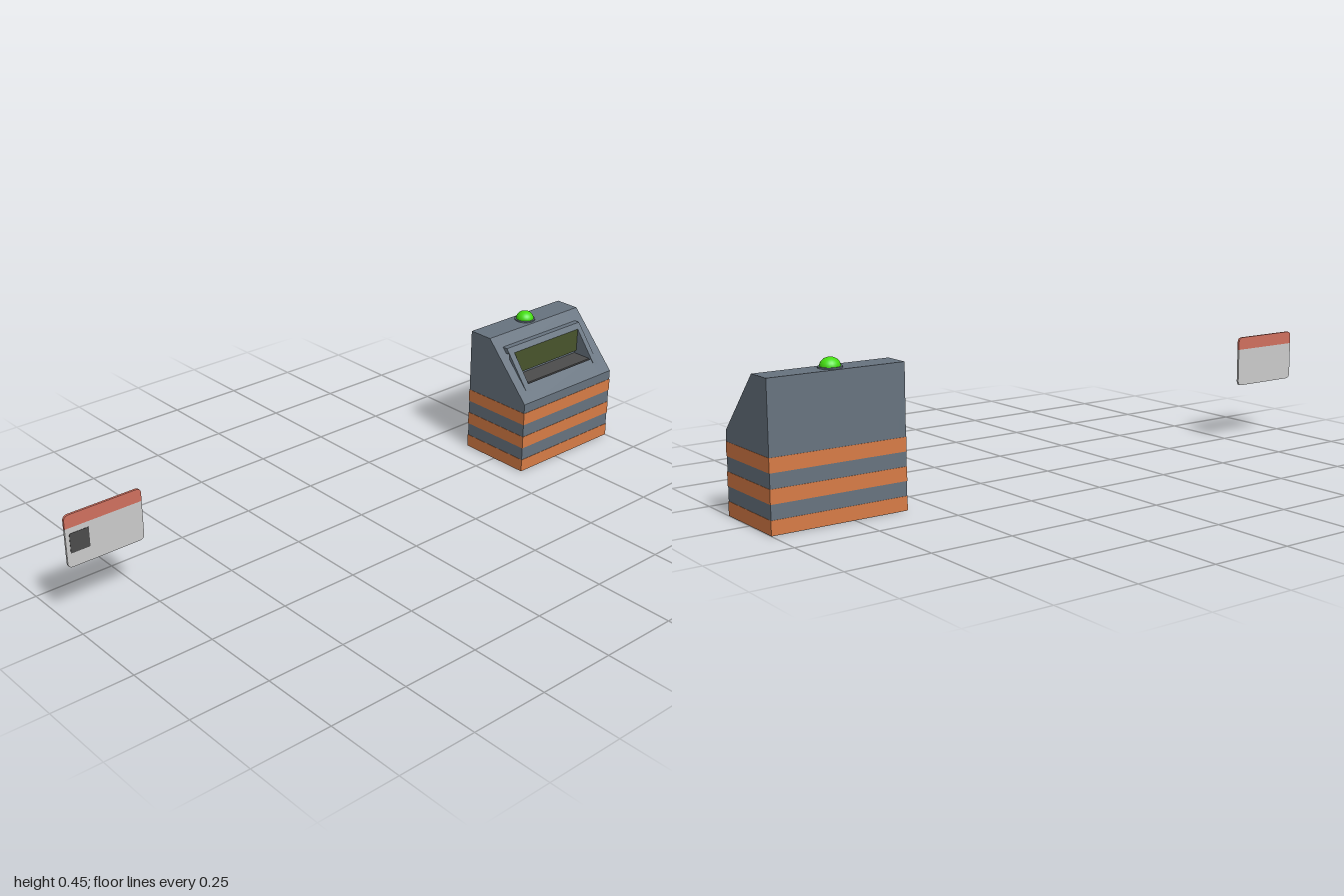
import * as THREE from 'three';

const mat = (color) => new THREE.MeshStandardMaterial({ color });
const slate = mat(0x67737f);
const orange = mat(0xd87c46);
const dark = mat(0x4c4c4c);
const screenGreen = mat(0x48542c);
const lampGreen = mat(0x44dd10);
const cardGrey = mat(0xcccccc);
const cardRed = mat(0xd0705f);

function add(parent, name, geometry, material) {
  const mesh = new THREE.Mesh(geometry, material);
  mesh.name = name;
  parent.add(mesh);
  return mesh;
}

// Box given by its minimum and maximum corners
function box(parent, name, [x0, y0, z0], [x1, y1, z1], material) {
  const mesh = add(parent, name, new THREE.BoxGeometry(x1 - x0, y1 - y0, z1 - z0), material);
  mesh.position.set((x0 + x1) / 2, (y0 + y1) / 2, (z0 + z1) / 2);
  return mesh;
}

// Side profile of [z, y] points extruded from x0 to x1
function slab(parent, name, points, x0, x1, material) {
  const shape = new THREE.Shape(points.map(([z, y]) => new THREE.Vector2(-z, y)));
  const geometry = new THREE.ExtrudeGeometry(shape, { depth: x1 - x0, bevelEnabled: false });
  geometry.rotateY(Math.PI / 2);
  geometry.translate(x0, 0, 0);
  return add(parent, name, geometry, material);
}

function createReader() {
  const reader = new THREE.Group();
  reader.name = 'cardReader';
  const L = 0.583, R = 1.0, innerL = 0.639, innerR = 0.944;

  // Housing: full-profile cheeks either side of a notched middle
  const cheek = [[-0.124, 0], [0.124, 0], [0.124, 0.24], [-0.041, 0.418], [-0.124, 0.418]];
  const notched = [[-0.124, 0], [0.124, 0], [0.124, 0.24], [0.083, 0.284], [0.08, 0.275],
    [0.01, 0.275], [0.01, 0.363], [-0.041, 0.418], [-0.124, 0.418]];
  slab(reader, 'rightCheek', cheek, L + 0.001, innerL, slate);
  slab(reader, 'housingMiddle', notched, innerL, innerR, slate);
  slab(reader, 'leftCheek', cheek, innerR, R - 0.001, slate);

  // Warning stripes around the base
  for (let i = 0; i < 3; i++) {
    const y = i * 0.0835;
    box(reader, 'stripe', [L, y + 0.001, -0.125], [R, y + 0.042, 0.125], orange);
  }

  // Hood around the display: two thin side wedges and a top lip
  const wedge = [[0.1, 0.267], [0.018, 0.372], [0.018, 0.35]];
  const lip = [[0.018, 0.372], [0.005, 0.388], [-0.015, 0.388], [0.001, 0.37]];
  slab(reader, 'hoodSide', wedge, 0.617, innerL, slate);
  slab(reader, 'hoodSide', wedge, innerR, 0.963, slate);
  slab(reader, 'hoodLip', lip, 0.617, 0.963, slate);

  // Display and the swipe tray in front of it
  box(reader, 'display', [innerL, 0.294, 0], [innerR, 0.372, 0.018], screenGreen);
  box(reader, 'tray', [innerL, 0.27, 0.005], [innerR, 0.284, 0.076], dark);

  // Status lamp on the top
  const base = add(reader, 'lampBase', new THREE.CylinderGeometry(0.034, 0.034, 0.006, 24), slate);
  base.position.set(0.79, 0.419, -0.083);
  const dome = add(reader, 'lamp',
    new THREE.SphereGeometry(0.029, 24, 10, 0, Math.PI * 2, 0, Math.PI / 2), lampGreen);
  dome.scale.y = 0.86;
  dome.position.set(0.79, 0.422, -0.083);
  return reader;
}

function createCard() {
  const card = new THREE.Group();
  card.name = 'keyCard';
  const x0 = -1, x1 = -0.758, y0 = 0.187, y1 = 0.347, split = 0.307, r = 0.016;
  const thickness = 0.007, back = -0.05;

  // Panel with its two outer corners rounded; dir is the way it points in y
  const panel = (name, inner, outer, material) => {
    const dir = Math.sign(outer - inner);
    const s = new THREE.Shape();
    s.moveTo(x0, inner);
    s.lineTo(x1, inner);
    s.lineTo(x1, outer - dir * r);
    s.quadraticCurveTo(x1, outer, x1 - r, outer);
    s.lineTo(x0 + r, outer);
    s.quadraticCurveTo(x0, outer, x0, outer - dir * r);
    s.closePath();
    const g = new THREE.ExtrudeGeometry(s, { depth: thickness, bevelEnabled: false, curveSegments: 6 });
    g.translate(0, 0, back);
    add(card, name, g, material);
  };
  panel('cardBody', split, y0, cardGrey);
  panel('cardBand', split, y1, cardRed);

  // Contact chip on the front
  box(card, 'chip', [-0.988, 0.23, back + 0.004], [-0.928, 0.29, back + thickness + 0.001], dark);
  return card;
}

export function createModel() {
  const model = new THREE.Group();
  model.name = 'cardReaderAndCard';
  model.add(createReader(), createCard());
  return model;
}
